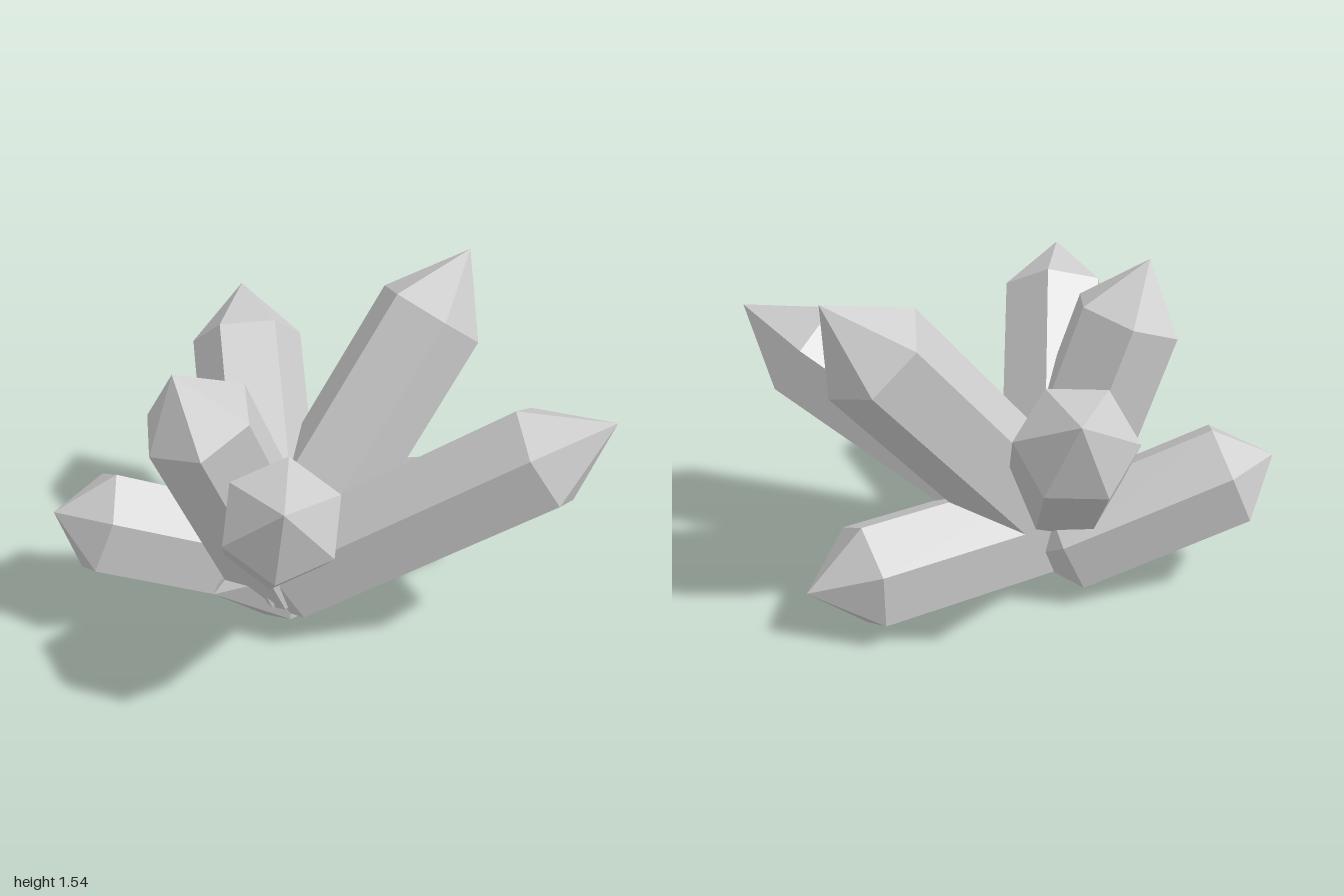
import * as THREE from 'three';

const RADIUS = 0.245;
const TIP_TO_SHAFT = 3.8; // shaft length as a multiple of tip length

const material = new THREE.MeshStandardMaterial({ color: 0xcccccc, flatShading: true });

// Six-sided crystal pointed at both ends.
// shoulder: centre of the ring below the upper point; apex: the upper point;
// ridge: direction of one of the six long edges.
function crystal(name, shoulder, apex, ridge) {
  const top = new THREE.Vector3(...shoulder);
  const axis = new THREE.Vector3(...apex).sub(top);
  const tip = axis.length();
  const shaft = tip * TIP_TO_SHAFT;
  axis.normalize();

  const profile = [
    [0, -shaft - tip],
    [RADIUS, -shaft],
    [RADIUS, 0],
    [0, tip],
  ].map(([r, y]) => new THREE.Vector2(r, y));
  const mesh = new THREE.Mesh(new THREE.LatheGeometry(profile, 6), material);

  // local y follows the crystal axis, local z follows the ridge
  const z = new THREE.Vector3(...ridge).projectOnPlane(axis).normalize();
  const x = new THREE.Vector3().crossVectors(axis, z);
  mesh.quaternion.setFromRotationMatrix(new THREE.Matrix4().makeBasis(x, axis, z));
  mesh.position.copy(top);
  mesh.name = name;
  return mesh;
}

export function createModel() {
  const group = new THREE.Group();
  group.name = 'crystalCluster';
  group.add(
    crystal('lyingCrystal', [0.74, 0.248, -0.085], [1, 0.248, -0.085], [0, 1, 0]),
    crystal('tallLeftCrystal', [0.65, 1.283, -0.085], [0.853, 1.537, -0.085], [1, 0, 0]),
    crystal('frontLeftCrystal', [0.648, 0.965, 0.69], [0.853, 1.147, 0.872], [1, 0, 0]),
    crystal('backCrystal', [0.097, 1.052, -0.723], [0.183, 1.23, -0.892], [0.213, 0.008, 0.113]),
    crystal('tallRightCrystal', [-0.54, 1.172, -0.085], [-0.64, 1.417, -0.085], [1, 0, 0]),
    crystal('frontRightCrystal', [-0.54, 1.043, 0.523], [-0.64, 1.213, 0.693], [1, 0, 0]),
    crystal('lowRightCrystal', [-0.827, 0.528, -0.503], [-1, 0.608, -0.576], [0.1, 0.22, 0.025]),
  );
  return group;
}
